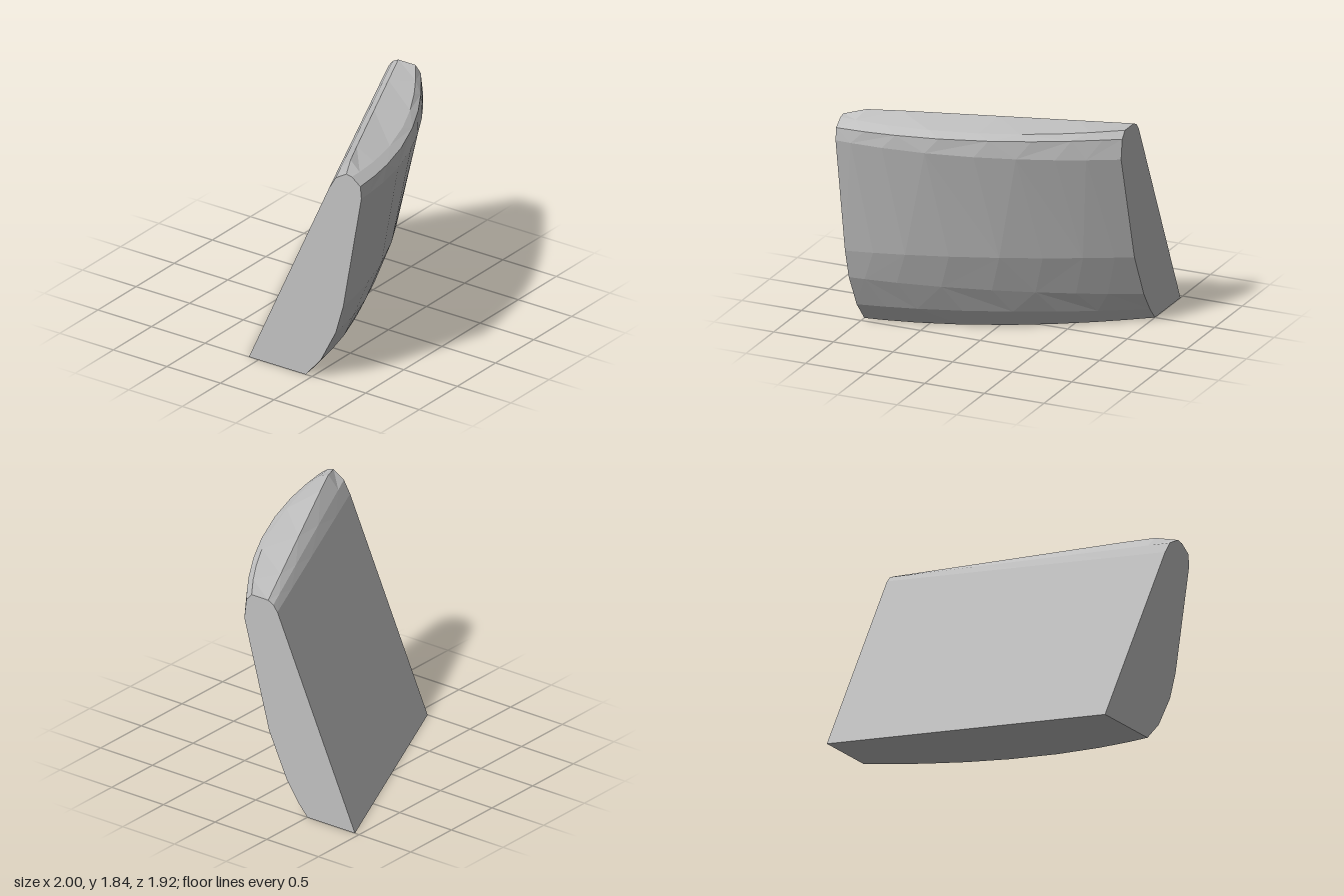
import * as THREE from 'three';

// Profile rows, back foot over the top to front foot:
// [z at x=-1, y at x=-1, z at x=+1, y at x=+1, forward bulge, lift at mid-span]
const ROWS = [
  [-0.09, 0, -0.96, 0, 0, 0],
  [0.66, 1.64, -0.21, 1.64, 0, 0],
  [0.72, 1.74, -0.17, 1.69, 0, 0],
  [0.82, 1.85, -0.12, 1.715, 0, 0],
  [0.87, 1.79, 0.04, 1.715, 0.17, -0.02],
  [0.95, 1.73, 0.09, 1.66, 0.17, 0],
  [0.96, 1.63, 0.11, 1.5, 0.165, 0],
  [0.79, 0.67, -0.13, 0.62, 0.17, 0.03],
  [0.72, 0.43, -0.3, 0.26, 0.16, 0.02],
  [0.58, 0.16, -0.41, 0.1, 0.17, 0.02],
  [0.44, 0, -0.5, 0, 0.17, 0],
];
const COLUMNS = [-1, -0.84, -0.6, -0.28, 0.07, 0.36, 0.62, 0.82, 1];

// Point on the slab; inner columns are staggered for irregular facets
function pointAt(row, col) {
  const [z0, y0, z1, y1, bulge, lift] = ROWS[row];
  const inner = col > 0 && col < COLUMNS.length - 1;
  const x = COLUMNS[col] + (inner && row > 3 && row < 10 ? (row % 2 ? 0.06 : -0.04) : 0);
  const t = (x + 1) / 2;
  const arc = 1 - x * x;
  const y = Math.min(y0 + (y1 - y0) * t + lift * arc, 1.8 + 0.22 * (x + 1), 1.835);
  return [x, y, z0 + (z1 - z0) * t + bulge * arc];
}

function slabGeometry() {
  const positions = [];
  const tri = (a, b, c) => positions.push(...a, ...b, ...c);
  const n = ROWS.length;
  const last = COLUMNS.length - 1;

  // Skin around the profile, including the underside
  for (let j = 0; j < last; j++) {
    for (let i = 0; i < n; i++) {
      const k = (i + 1) % n;
      const a = pointAt(i, j), b = pointAt(i, j + 1);
      const c = pointAt(k, j + 1), d = pointAt(k, j);
      if ((i + j) % 2) {
        tri(a, d, c);
        tri(a, c, b);
      } else {
        tri(a, d, b);
        tri(d, c, b);
      }
    }
  }

  // Flat ends
  for (let i = 1; i < n - 1; i++) {
    tri(pointAt(0, last), pointAt(i, last), pointAt(i + 1, last));
    tri(pointAt(0, 0), pointAt(i + 1, 0), pointAt(i, 0));
  }

  const geometry = new THREE.BufferGeometry();
  geometry.setAttribute('position', new THREE.Float32BufferAttribute(positions, 3));
  geometry.computeVertexNormals();
  return geometry;
}

export function createModel() {
  const group = new THREE.Group();
  group.name = 'leaningSlab';
  const stone = new THREE.MeshStandardMaterial({ color: 0xc0c0c0 });
  stone.name = 'stone grey';
  const slab = new THREE.Mesh(slabGeometry(), stone);
  slab.name = 'slab';
  group.add(slab);
  return group;
}
